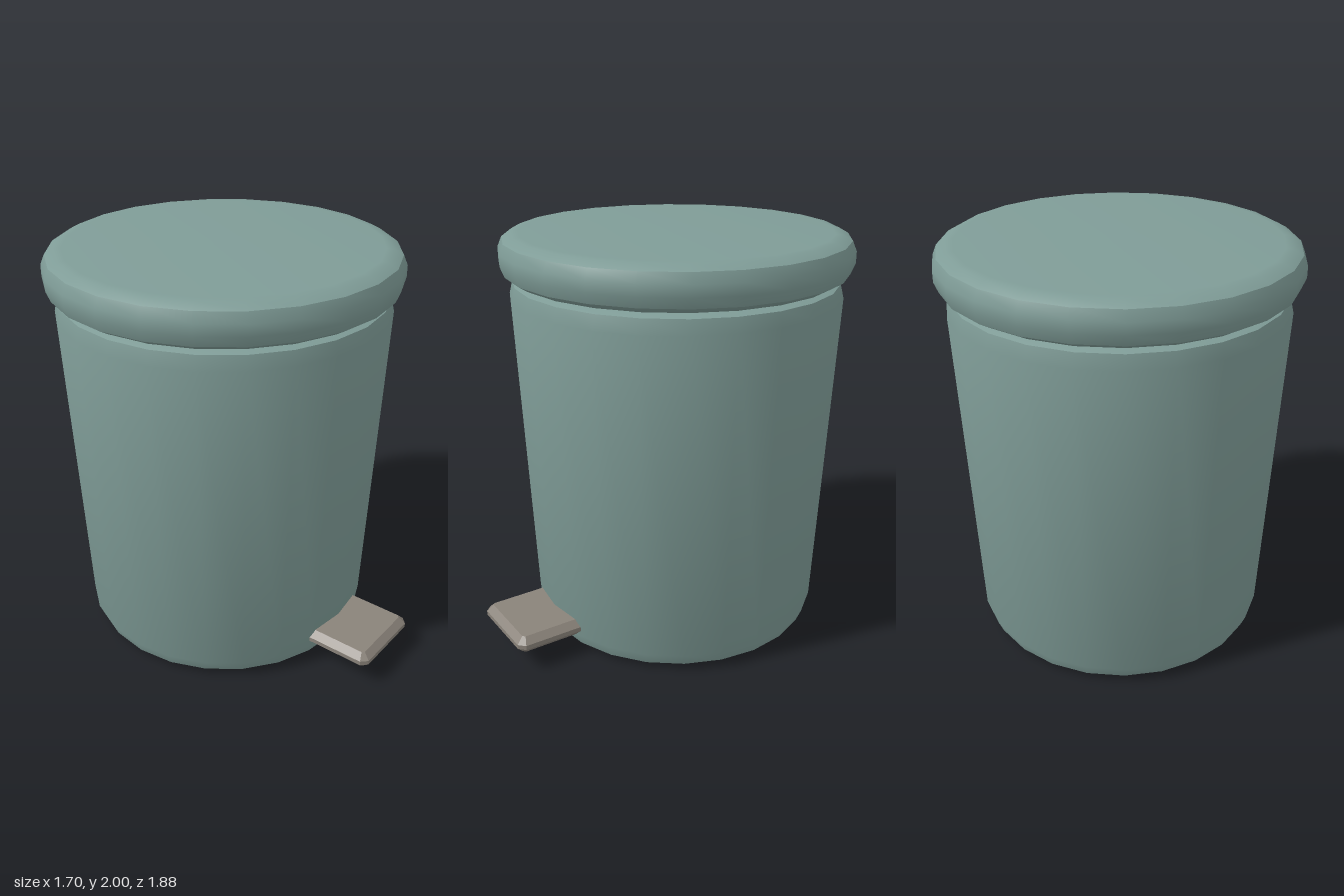
import * as THREE from 'three';
import { toCreasedNormals } from 'three/addons/utils/BufferGeometryUtils.js';

const SIDES = 24;

// Turned part from [radius, y] pairs, listed bottom to top
function turned(name, profile, material) {
  const points = profile.map(([r, y]) => new THREE.Vector2(r, y));
  const geometry = toCreasedNormals(new THREE.LatheGeometry(points, SIDES), 0.62);
  const mesh = new THREE.Mesh(geometry, material);
  mesh.name = name;
  mesh.position.z = -0.09;
  return mesh;
}

// Flat slab with cut corners and chamfered edges
function chamferedSlab(width, height, depth, c) {
  const w = width / 2 - c, d = depth / 2 - c, k = 0.012;
  const shape = new THREE.Shape([
    [-w + k, -d], [w - k, -d], [w, -d + k], [w, d - k],
    [w - k, d], [-w + k, d], [-w, d - k], [-w, -d + k],
  ].map(([x, y]) => new THREE.Vector2(x, y)));
  const geometry = new THREE.ExtrudeGeometry(shape, {
    depth: height - 2 * c, bevelEnabled: true, bevelSegments: 1, bevelSize: c, bevelThickness: c,
  });
  geometry.center();
  return geometry.rotateX(-Math.PI / 2);
}

export function createModel() {
  const group = new THREE.Group();
  group.name = 'pedalBin';
  const paint = new THREE.MeshStandardMaterial({ color: 0x7f9c97 });
  const metal = new THREE.MeshStandardMaterial({ color: 0x8a837a });

  // Tapered bucket with chamfered foot and shoulder
  group.add(turned('bucket', [
    [0, 0], [0.6, 0], [0.645, 0.004], [0.705, 0.03], [0.73, 0.09],
    [0.805, 1.70], [0.788, 1.768], [0.71, 1.795], [0, 1.795],
  ], paint));

  // Overhanging lid with a rounded rim
  group.add(turned('lid', [
    [0, 1.79], [0.75, 1.79], [0.785, 1.793], [0.83, 1.82], [0.85, 1.87],
    [0.85, 1.925], [0.83, 1.972], [0.785, 1.997], [0.75, 2], [0, 2],
  ], paint));

  // Foot pedal, its back end sunk into the bucket
  const pedal = new THREE.Mesh(chamferedSlab(0.42, 0.086, 0.43, 0.032), metal);
  pedal.name = 'pedal';
  pedal.position.set(0, 0.132, 0.72);
  group.add(pedal);

  return group;
}
